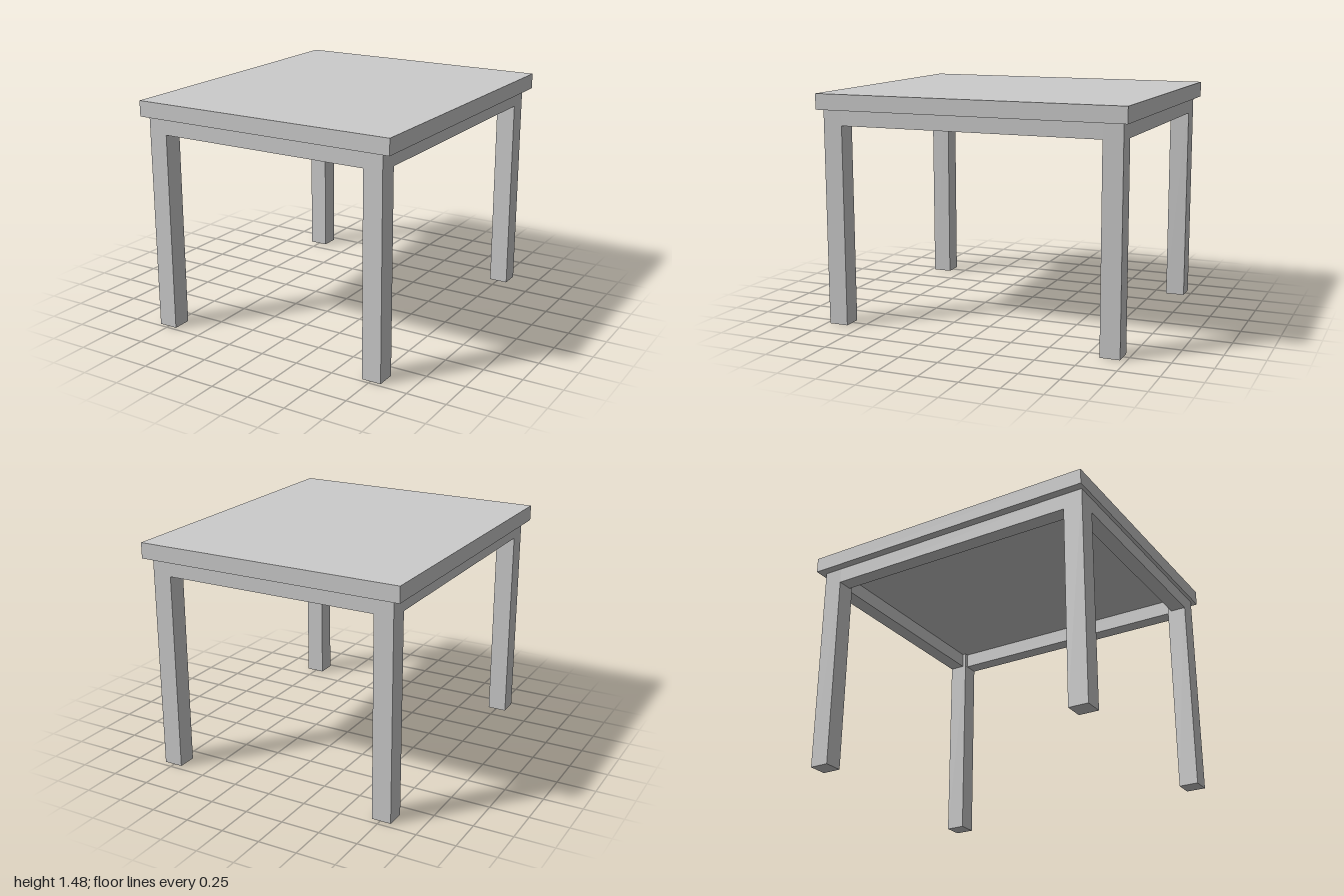
import * as THREE from 'three';

export function createModel() {
  const group = new THREE.Group();
  const material = new THREE.MeshStandardMaterial({ color: 0xcccccc, flatShading: true });

  // Box given by its [min, max] range on each axis
  const addBox = (name, [x0, x1], [y0, y1], [z0, z1]) => {
    const mesh = new THREE.Mesh(new THREE.BoxGeometry(x1 - x0, y1 - y0, z1 - z0), material);
    mesh.position.set((x0 + x1) / 2, (y0 + y1) / 2, (z0 + z1) / 2);
    mesh.name = name;
    group.add(mesh);
  };

  const top = 1.48, under = 1.38, apronBottom = 1.28;
  const outerX = 0.818, innerX = 0.694;
  const front = [0.852, 0.977], back = [-0.962, -0.837];
  const apron = 0.1; // apron thickness

  addBox('tabletop', [-0.872, 0.872], [under, top], [-1, 1]);

  // Legs and side aprons, flush on the outside
  for (const [side, xs, apronX] of [
    ['left', [innerX, outerX], [outerX - apron, outerX]],
    ['right', [-outerX, -innerX], [-outerX, -outerX + apron]],
  ]) {
    addBox(side + 'FrontLeg', xs, [0, under], front);
    addBox(side + 'BackLeg', xs, [0, under], back);
    addBox(side + 'Apron', apronX, [apronBottom, under], [back[1], front[0]]);
  }

  // Front and back aprons between the legs
  addBox('frontApron', [-innerX, innerX], [apronBottom, under], [front[1] - apron, front[1]]);
  addBox('backApron', [-innerX, innerX], [apronBottom, under], [back[0], back[0] + apron]);

  return group;
}
